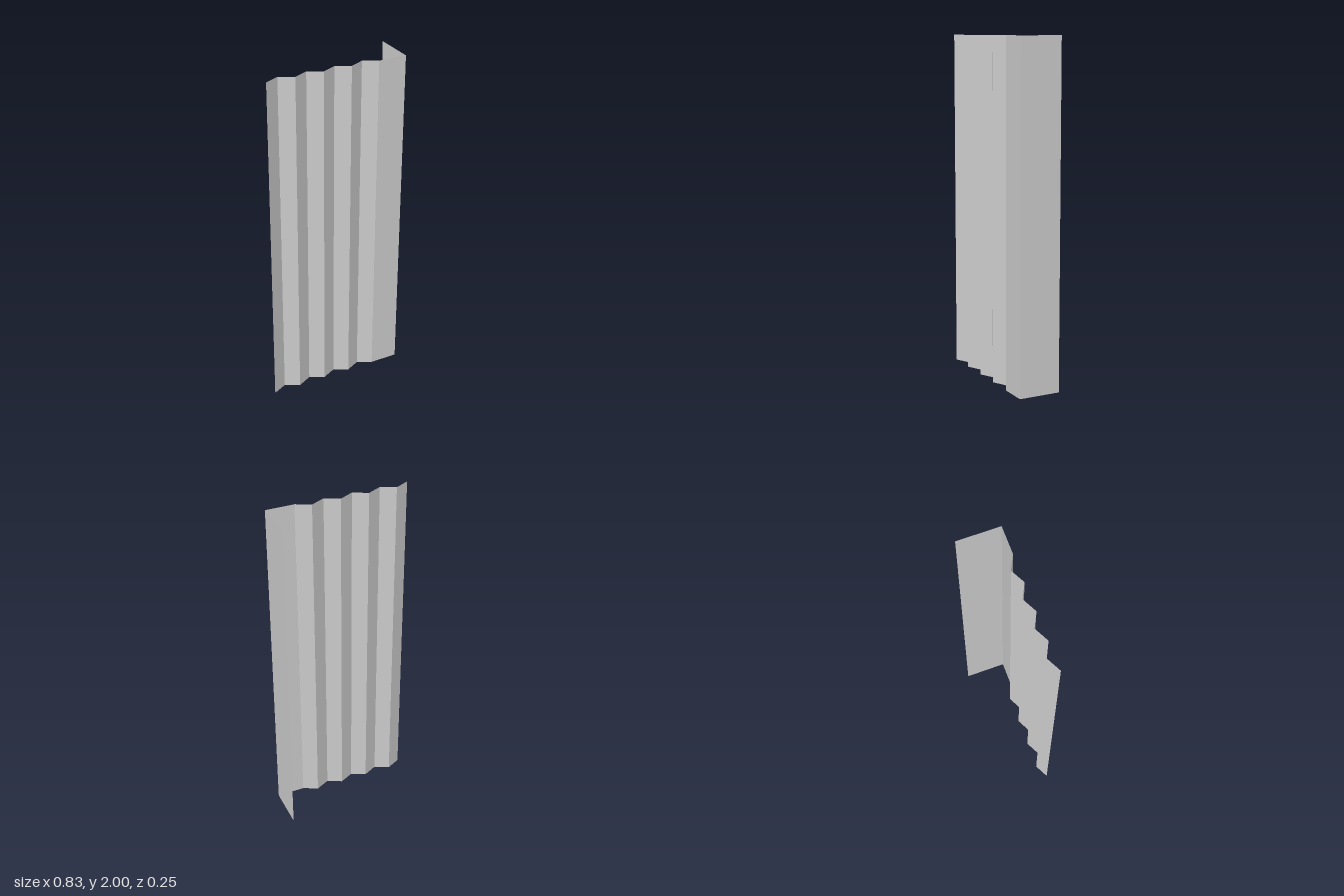
import * as THREE from 'three';

const HEIGHT = 2;
const STEP = 1 / 12;   // width of one pleat face
const DEPTH = 1 / 24;  // depth of a pleat
const HALF_W = 5 / 12;
const HALF_D = 0.125;

// Upright zero-thickness sheet following a plan path of [x, z] points, one flat panel per step
function sheet(name, path, material) {
  const pos = [];
  for (let i = 0; i < path.length - 1; i++) {
    const [x0, z0] = path[i], [x1, z1] = path[i + 1];
    pos.push(x0, 0, z0, x1, 0, z1, x1, HEIGHT, z1);
    pos.push(x0, 0, z0, x1, HEIGHT, z1, x0, HEIGHT, z0);
  }
  const geometry = new THREE.BufferGeometry();
  geometry.setAttribute('position', new THREE.Float32BufferAttribute(pos, 3));
  geometry.computeVertexNormals();
  const mesh = new THREE.Mesh(geometry, material);
  mesh.name = name;
  return mesh;
}

export function createModel() {
  const group = new THREE.Group();
  group.name = 'corrugatedPanel';
  const material = new THREE.MeshStandardMaterial({
    color: 0xcccccc, flatShading: true, side: THREE.DoubleSide,
  });

  // Four shallow V-shaped pleats
  const pleats = [];
  for (let i = 0; i <= 8; i++) {
    pleats.push([-HALF_W + i * STEP, HALF_D - (i % 2) * DEPTH]);
  }
  group.add(sheet('pleatedSheet', pleats, material));

  // Flat strip next to the pleats, and the flange folded back from it
  group.add(sheet('flatStrip', [[HALF_W - 2 * STEP, HALF_D], [HALF_W, HALF_D]], material));
  group.add(sheet('sideFlange', [[HALF_W, HALF_D], [HALF_W, -HALF_D]], material));
  return group;
}
